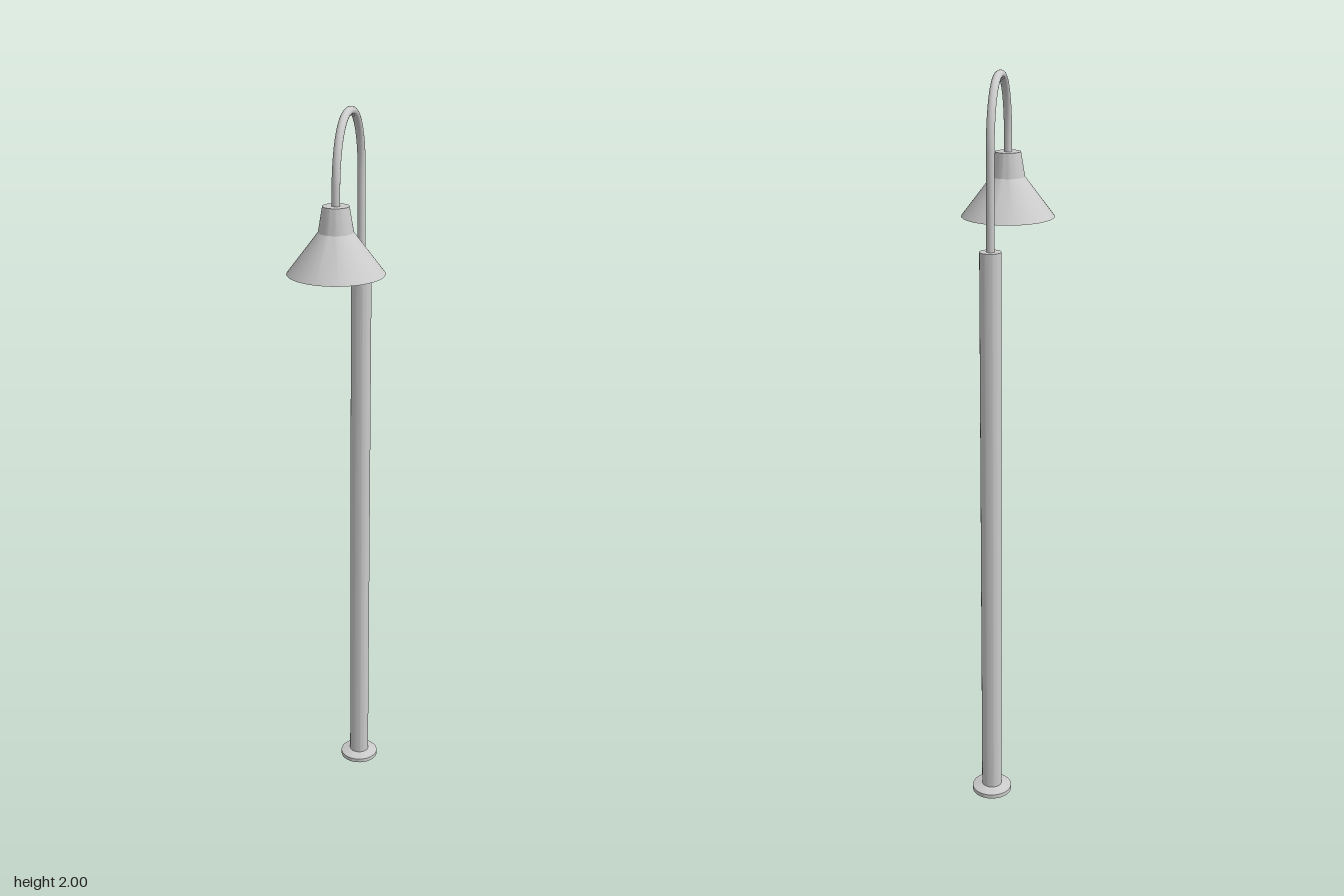
import * as THREE from 'three';
import { toCreasedNormals } from 'three/addons/utils/BufferGeometryUtils.js';

const POLE_Z = -0.172, LAMP_Z = 0.1;

export function createModel() {
  const lamp = new THREE.Group();
  lamp.name = 'streetLamp';
  const grey = new THREE.MeshStandardMaterial({ color: 0xcccccc });
  const thin = new THREE.MeshStandardMaterial({ color: 0xcccccc, side: THREE.DoubleSide });

  const add = (name, geometry, z = 0, material = grey) => {
    const mesh = new THREE.Mesh(geometry, material);
    mesh.name = name;
    mesh.position.z = z;
    lamp.add(mesh);
  };
  // Round part from [radius, height] pairs, listed bottom to top
  const turned = (profile, crease = 0.4) => toCreasedNormals(
    new THREE.LatheGeometry(profile.map(([r, y]) => new THREE.Vector2(r, y)), 40), crease);

  // Foot flange, hollow underneath
  add('baseFlange', turned([[0.055, 0], [0.055, 0.012], [0.028, 0.02]]), POLE_Z, thin);

  // Straight post with flat ends
  add('pole', turned([[0, 0.002], [0.028, 0.002], [0.028, 1.574], [0, 1.574]]), POLE_Z);

  // Gooseneck: straight rise, then a slightly squared arch down to the lamp
  const path = [];
  for (const y of [1.56, 1.64, 1.72]) path.push(new THREE.Vector3(0, y, POLE_Z));
  const midZ = (POLE_Z + LAMP_Z) / 2, half = (LAMP_Z - POLE_Z) / 2, n = 2 / 2.25;
  for (let i = 0; i <= 16; i++) {
    const a = Math.PI * (1 - i / 16);
    const c = Math.cos(a), s = Math.max(0, Math.sin(a));
    path.push(new THREE.Vector3(0, 1.8 + 0.1893 * s ** n, midZ + half * Math.sign(c) * Math.abs(c) ** n));
  }
  path.push(new THREE.Vector3(0, 1.77, LAMP_Z));
  add('gooseneckArm', new THREE.TubeGeometry(new THREE.CatmullRomCurve3(path), 80, 0.0107, 16));

  // Thin conical shade with a tapered neck and closed top
  add('shade', turned([[0.125, 1.61], [0.045, 1.715], [0.034, 1.78], [0, 1.78]]), LAMP_Z, thin);

  // Bulb: round globe narrowing into a stem inside the neck
  const bulb = [];
  for (let i = 0; i <= 10; i++) {
    const a = -Math.PI / 2 + i * Math.PI * 0.08;
    bulb.push([Math.max(0, 0.032 * Math.cos(a)), 1.646 + 0.032 * Math.sin(a)]);
  }
  bulb.push([0.016, 1.69], [0.016, 1.775]);
  add('bulb', turned(bulb, 0.7), LAMP_Z);

  return lamp;
}
